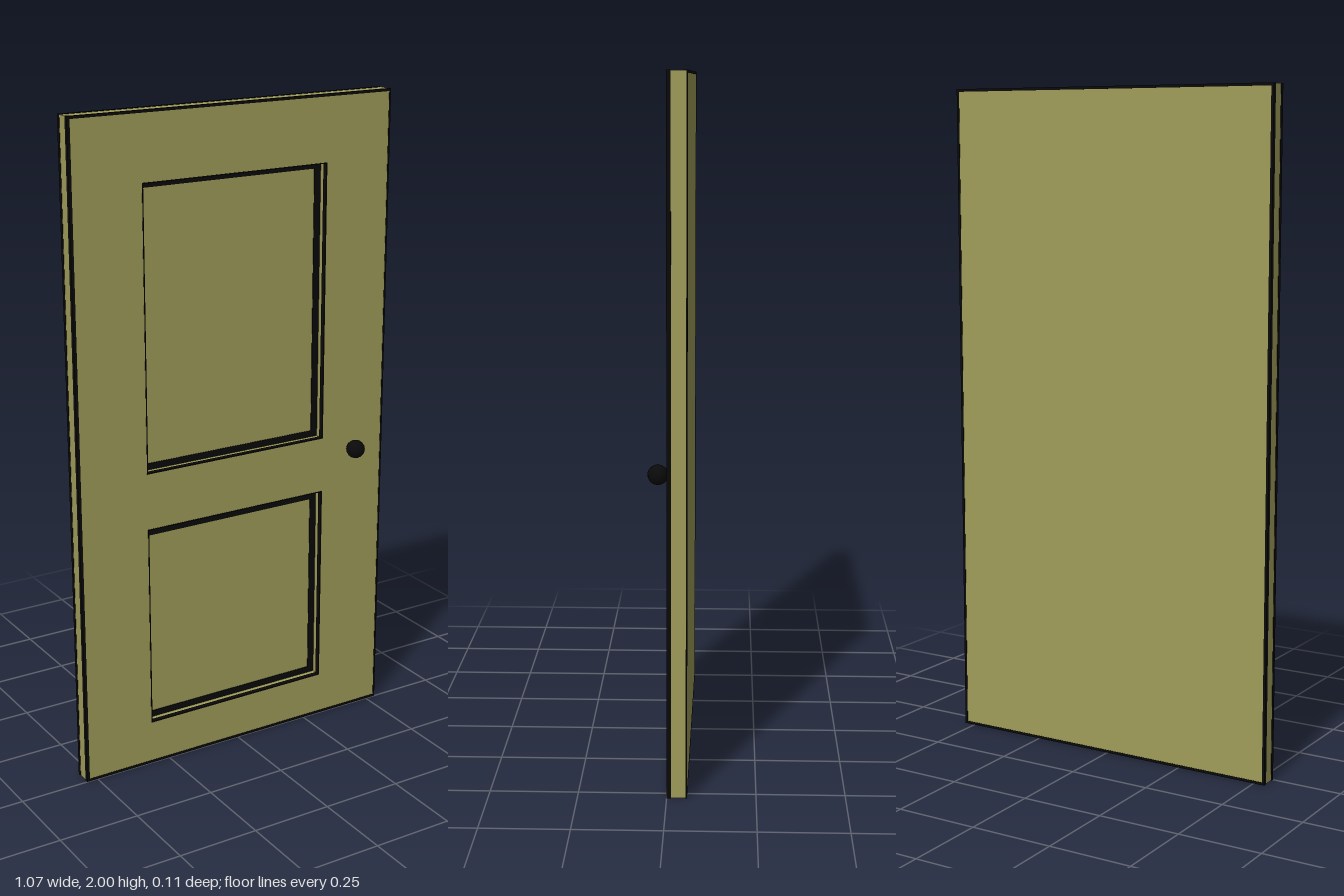
import * as THREE from 'three';

export function createModel() {
  const door = new THREE.Group();
  door.name = 'door';
  const paint = new THREE.MeshStandardMaterial({ color: 0xa09d5a });
  paint.name = 'olive paint';
  const black = new THREE.MeshStandardMaterial({ color: 0x0a0a0a });
  black.name = 'black trim';

  const W = 0.534, H = 2, BACK = -0.056, FLOOR = -0.036;
  const panels = [
    { name: 'upperPanel', x: 0.31, y0: 0.945, y1: 1.8, top: 0.021 },
    { name: 'lowerPanel', x: 0.31, y0: 0.137, y1: 0.772, top: 0.034 },
  ];

  const add = (parent, name, geometry, material) => {
    const mesh = new THREE.Mesh(geometry, material);
    mesh.name = name;
    parent.add(mesh);
    return mesh;
  };
  const box = (parent, name, material, x0, x1, y0, y1, z0, z1) =>
    add(parent, name, new THREE.BoxGeometry(x1 - x0, y1 - y0, z1 - z0), material)
      .position.set((x0 + x1) / 2, (y0 + y1) / 2, (z0 + z1) / 2);

  // Four black bars just inside a rectangle; widths and z ranges are [left, right, bottom, top]
  const border = (name, x, y0, y1, widths, ranges) => {
    const group = new THREE.Group();
    group.name = name;
    const [l, r, b, t] = widths;
    box(group, 'leftBar', black, -x, -x + l, y0, y1, ...ranges[0]);
    box(group, 'rightBar', black, x - r, x, y0, y1, ...ranges[1]);
    box(group, 'bottomBar', black, -x + l, x - r, y0, y0 + b, ...ranges[2]);
    box(group, 'topBar', black, -x + l, x - r, y1 - t, y1, ...ranges[3]);
    door.add(group);
  };

  // Front framework with two rectangular openings
  const rect = (target, x, y0, y1) => {
    target.moveTo(-x, y0);
    target.lineTo(x, y0);
    target.lineTo(x, y1);
    target.lineTo(-x, y1);
    target.closePath();
    return target;
  };
  const face = rect(new THREE.Shape(), W, 0.001, H - 0.001);
  panels.forEach(p => face.holes.push(rect(new THREE.Path(), p.x, p.y0, p.y1)));
  const frame = new THREE.ExtrudeGeometry(face, { depth: -FLOOR - 0.001, bevelEnabled: false });
  frame.translate(0, 0, FLOOR);
  add(door, 'frame', frame, paint);

  // Solid back, whose front forms the recessed panels
  box(door, 'backSlab', paint, -W, W, 0.001, H - 0.001, BACK, FLOOR);

  // Black edging around the front and back faces
  const front = d => [-d, 0];
  const rear = d => [BACK - 0.001, BACK - 0.001 + d];
  border('frontEdging', W + 0.001, 0, H, [0.009, 0.006, 0.008, 0.008],
    [front(0.012), front(0.012), front(0.006), front(0.006)]);
  border('backEdging', W + 0.001, 0, H, [0.008, 0.008, 0.008, 0.008],
    [rear(0.012), rear(0.004), rear(0.006), rear(0.013)]);

  // Black lines at the rim and at the foot of each recess
  panels.forEach(p => {
    border(p.name + 'Rim', p.x, p.y0, p.y1, Array(4).fill(0.003), Array(4).fill([-0.016, 0]));
    border(p.name + 'Trim', p.x, p.y0, p.y1, [0.022, 0.022, 0.02, p.top],
      Array(4).fill([FLOOR, FLOOR + 0.002]));
  });

  // Faceted knob on a short stem
  const knob = new THREE.Group();
  knob.name = 'knob';
  knob.position.set(0.415, 0.9, 0);
  add(knob, 'knobBall', new THREE.IcosahedronGeometry(0.029, 2), black).position.z = 0.028;
  const stem = new THREE.CylinderGeometry(0.012, 0.012, 0.02, 12);
  stem.rotateX(Math.PI / 2);
  add(knob, 'knobStem', stem, black).position.z = 0.005;
  door.add(knob);

  return door;
}
